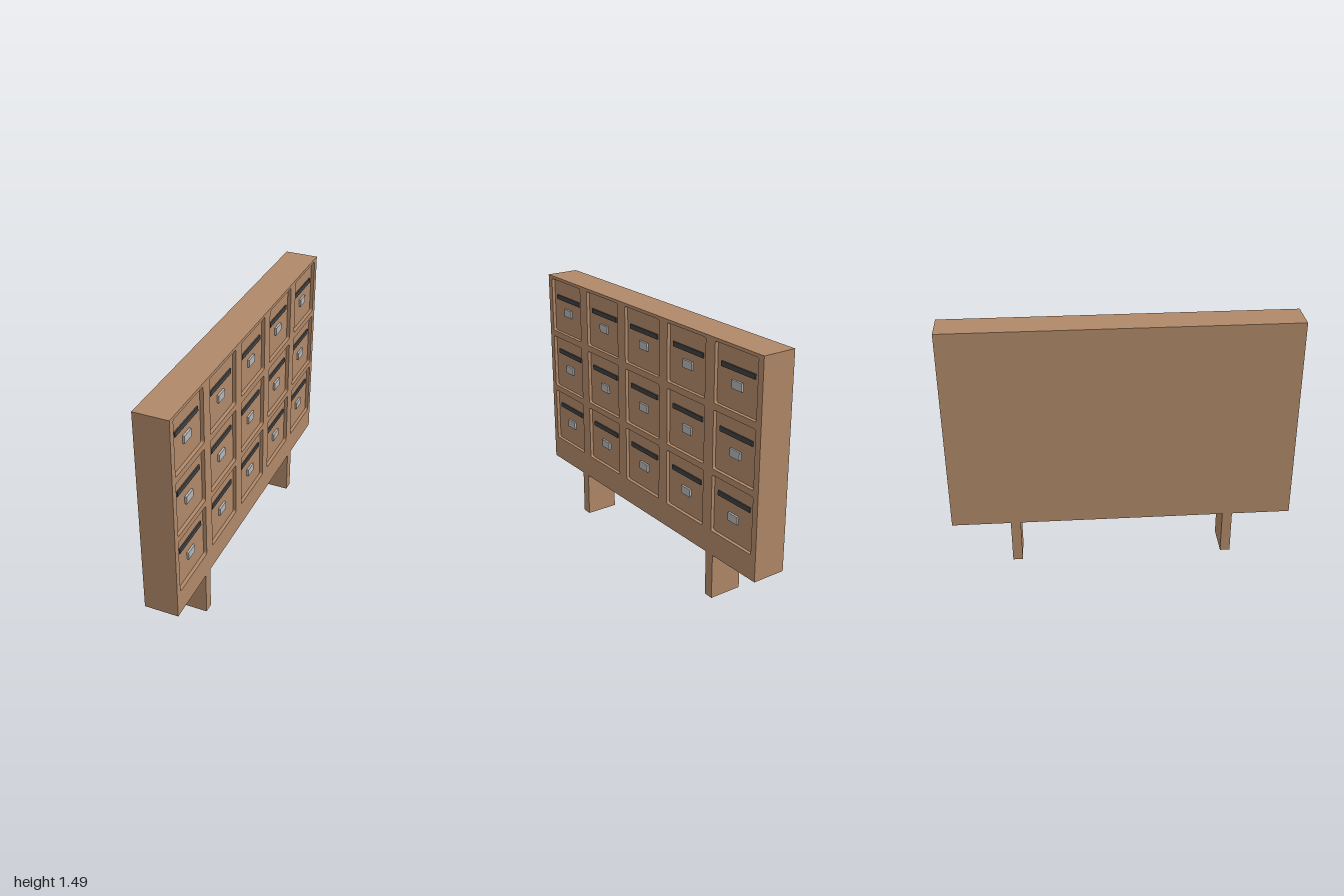
import * as THREE from 'three';

const wood = new THREE.MeshStandardMaterial({ color: 0xb08868 });
const dark = new THREE.MeshStandardMaterial({ color: 0x404040 });
const silver = new THREE.MeshStandardMaterial({ color: 0xb4b4b4 });

const HALF = 0.098, RECESS = 0.02;
const FLOOR = HALF - RECESS; // x of the recessed door faces
const BOTTOM = 0.267, TOP = 1.487;

// Box spanning x0..x1, centred on y and z
function box(name, material, x0, x1, y, z, h, w) {
  const mesh = new THREE.Mesh(new THREE.BoxGeometry(x1 - x0, h, w), material);
  mesh.position.set((x0 + x1) / 2, y, z);
  mesh.name = name;
  return mesh;
}

// Rounded rectangle drawn in (-z, y)
function doorOutline(z, y, w, h, r) {
  const a = -z - w / 2, b = -z + w / 2, c = y - h / 2, d = y + h / 2;
  const p = new THREE.Path();
  p.moveTo(a + r, c);
  p.lineTo(b - r, c);
  p.quadraticCurveTo(b, c, b, c + r);
  p.lineTo(b, d - r);
  p.quadraticCurveTo(b, d, b - r, d);
  p.lineTo(a + r, d);
  p.quadraticCurveTo(a, d, a, d - r);
  p.lineTo(a, c + r);
  p.quadraticCurveTo(a, c, a + r, c);
  return p;
}

export function createModel() {
  const model = new THREE.Group();
  model.name = 'mailboxUnit';

  // Cabinet slab behind the recessed doors
  model.add(box('cabinetBody', wood, -HALF, FLOOR, (BOTTOM + TOP) / 2, 0, TOP - BOTTOM, 2));

  // Front frame pierced by the door recesses
  const frame = new THREE.Shape();
  frame.moveTo(-1, BOTTOM);
  frame.lineTo(1, BOTTOM);
  frame.lineTo(1, TOP);
  frame.lineTo(-1, TOP);
  frame.closePath();

  for (const rowY of [1.305, 0.939, 0.575]) {
    for (let col = 0; col < 5; col++) {
      const z = 0.8 - col * 0.4;
      frame.holes.push(doorOutline(z, rowY, 0.325, 0.328, 0.012));
      // Letter slot and name plate on each door
      const door = new THREE.Group();
      door.name = 'mailboxDoor';
      door.add(box('letterSlot', dark, FLOOR - 0.005, FLOOR + 0.008, rowY + 0.0715 - (rowY > 1.2 ? 0.0165 : 0), z, 0.027, 0.254));
      door.add(box('namePlate', silver, FLOOR - 0.005, FLOOR + 0.012, rowY - 0.027, z, 0.045, 0.076));
      model.add(door);
    }
  }

  const frameGeometry = new THREE.ExtrudeGeometry(frame, { depth: RECESS, bevelEnabled: false, curveSegments: 4 });
  frameGeometry.rotateY(Math.PI / 2);
  const frontFrame = new THREE.Mesh(frameGeometry, wood);
  frontFrame.position.x = FLOOR;
  frontFrame.name = 'frontFrame';
  model.add(frontFrame);

  // Two plank legs as deep as the cabinet
  for (const side of [1, -1]) {
    model.add(box('leg', wood, -HALF, HALF, BOTTOM / 2, side * 0.628, BOTTOM, 0.058));
  }
  return model;
}
